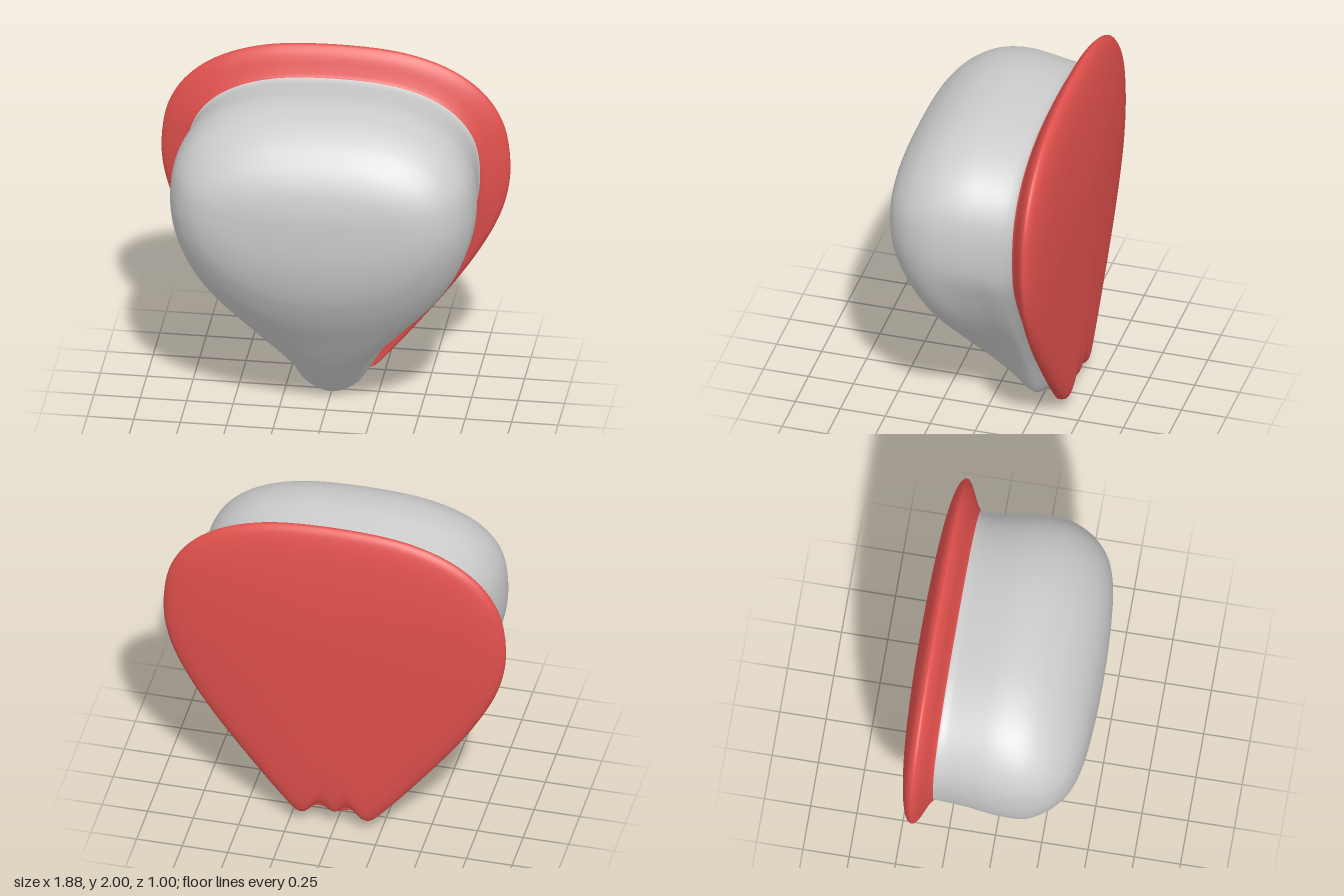
import * as THREE from 'three';

const { lerp, smoothstep } = THREE.MathUtils;
const MID = 1.32;      // height of the widest point
const STEPS = 4;       // subdivisions between stations
const AROUND = 128;    // points round each loop

// Lower half outlines (x, depth), from the widest point down to the centre line
const POINTED = [[1, 0], [.97, .15], [.85, .31], [.71, .46], [.54, .615], [.37, .77], [.22, .92], [.15, .965], [.075, .99], [0, 1]];
const NOTCHED = [[1, 0], [.975, .14], [.915, .27], [.8, .43], [.66, .587], [.5, .746], [.33, .905], [.2, 1], [.09, .94], [0, .975]];
const ROUND = POINTED.map((p, i) => [Math.cos(i * Math.PI / 18), Math.sin(i * Math.PI / 18)]);

// Stations front to back: z, half width, top, bottom
const STATIONS = [
  [.5, 0, 1.32, 1.32],
  [.497, .16, 1.4, 1.22],
  [.488, .33, 1.46, 1.12],
  [.465, .52, 1.55, 1],
  [.42, .65, 1.64, .86],
  [.36, .725, 1.715, .74],
  [.3, .77, 1.77, .64],
  [.2, .81, 1.83, .5],
  [.1, .82, 1.86, .36],
  [0, .815, 1.87, .23],
  [-.1, .8, 1.86, .11],
  [-.22, .785, 1.842, 0],
  [-.26, .785, 1.838, .04],
  [-.29, .79, 1.845, .075],   // seam between body and plate
  [-.31, .815, 1.88, .078],
  [-.34, .875, 1.95, .08],
  [-.365, .92, 1.985, .08],
  [-.388, .94, 2, .08],
  [-.415, .92, 1.98, .085],
  [-.437, .865, 1.93, .12],
  [-.455, .78, 1.86, .2],
  [-.472, .64, 1.75, .4],
  [-.486, .44, 1.61, .72],
  [-.496, .2, 1.45, 1.06],
  [-.5, 0, 1.32, 1.32],
];
const SEAM = 13;

// Closed, mirrored loop for one station
function loop([z, w, top, bottom]) {
  // Blunt at the front, pointed in the middle, notched round the plate rim
  const round = smoothstep(z, -.15, .25);
  const notch = smoothstep(-z, .28, .365) * (1 - smoothstep(-z, .44, .486));
  // The lower edge of the seam swings backwards
  const sag = .07 * Math.max(0, 1 - Math.abs(z + .3) / .07);
  const target = round > 0 ? ROUND : NOTCHED;
  const half = POINTED.map(([x, v], i) => {
    const k = Math.max(round, notch);
    const d = lerp(v, target[i][1], k);
    return new THREE.Vector3(w * lerp(x, target[i][0], k), MID - d * (MID - bottom), z - sag * d ** 3);
  }).reverse();
  for (let i = 1; i <= 7; i++) {
    const a = i * Math.PI / 14;
    const c = i === 7 ? 0 : Math.cos(a) ** .8;
    half.push(new THREE.Vector3(w * c, MID + Math.sin(a) ** .8 * (top - MID), z));
  }
  const mirrored = half.slice(1, -1).reverse().map(p => new THREE.Vector3(-p.x, p.y, p.z));
  const curve = new THREE.CatmullRomCurve3([...half, ...mirrored], true, 'catmullrom', .5);
  return curve.getPoints(AROUND).slice(0, AROUND);
}

// Triangles between two rows of the skin
function strip(from, to) {
  const index = [];
  for (let i = from; i < to; i++) {
    for (let j = 0; j < AROUND; j++) {
      const a = i * AROUND + j, b = i * AROUND + (j + 1) % AROUND;
      const c = a + AROUND, d = b + AROUND;
      index.push(a, c, b, b, c, d);
    }
  }
  return index;
}

// Smooth skin lofted through all the stations
function loft(rows) {
  const loops = STATIONS.map(loop);
  const lines = loops[0].map((p, j) =>
    new THREE.CatmullRomCurve3(loops.map(l => l[j])).getPoints(rows));
  const points = [];
  for (let i = 0; i <= rows; i++) lines.forEach(line => points.push(line[i]));
  const geometry = new THREE.BufferGeometry().setFromPoints(points);
  geometry.setIndex(strip(0, rows));
  geometry.computeVertexNormals();
  // Both ends are flat poles
  for (let j = 0; j < AROUND; j++) {
    geometry.attributes.normal.setXYZ(j, 0, 0, 1);
    geometry.attributes.normal.setXYZ(rows * AROUND + j, 0, 0, -1);
  }
  return geometry;
}

export function createModel() {
  const group = new THREE.Group();
  group.name = 'roundedShellOnPlate';
  const rows = (STATIONS.length - 1) * STEPS;
  const skin = loft(rows);

  // Grey body in front of the seam, red flared plate behind it
  const add = (name, color, from, to) => {
    const part = skin.clone();
    part.setIndex(strip(from, to));
    const mesh = new THREE.Mesh(part, new THREE.MeshStandardMaterial({ color }));
    mesh.name = name;
    group.add(mesh);
  };
  add('body', 0xcccccc, 0, SEAM * STEPS);
  add('backPlate', 0xe0504c, SEAM * STEPS, rows);
  return group;
}
